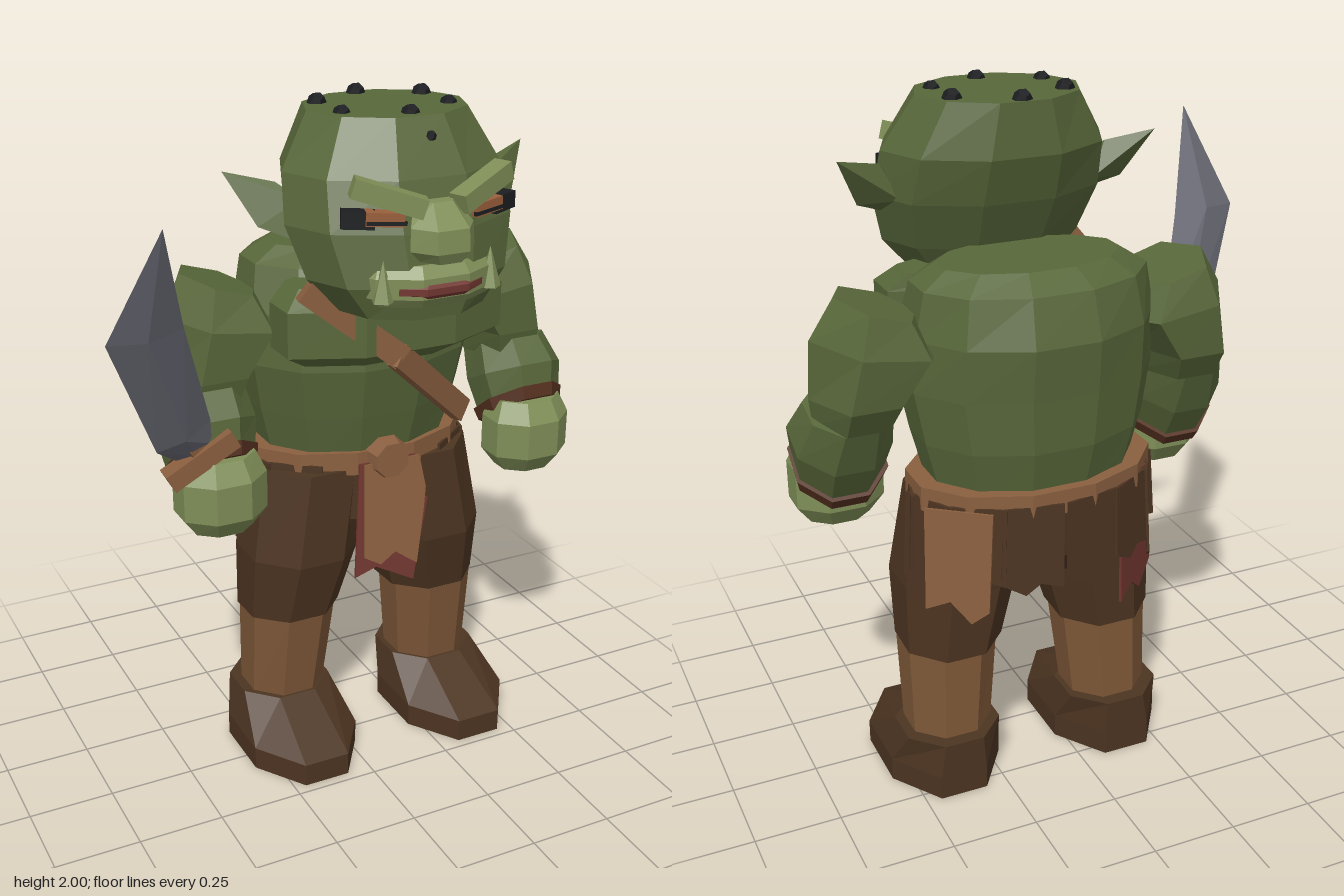
import * as THREE from 'three';
import { ConvexGeometry } from 'three/addons/geometries/ConvexGeometry.js';

const paint = (name, color) => {
  const m = new THREE.MeshStandardMaterial({ color });
  m.name = name;
  return m;
};

export function createModel() {
  const skin = paint('green skin', 0x58673a), pale = paint('pale green skin', 0x7f8e57);
  const dark = paint('dark brown cloth', 0x4c3421), tan = paint('tan leather', 0x8a5f3f);
  const shinTan = paint('wrapping brown', 0x7e5838), red = paint('red cloth', 0x713630);
  const steel = paint('steel', 0x686973), black = paint('black', 0x1c1d20);
  const cuffBrown = paint('cuff brown', 0x54301f), amber = paint('amber eye', 0x9a5f3b);

  const root = new THREE.Group();
  root.name = 'goblinWarrior';
  const body = new THREE.Group();
  body.name = 'body';
  body.position.x = 0.12;
  root.add(body);

  // Adds a mesh with faceted normals.
  const add = (name, geo, mat) => {
    const g = geo.index ? geo.toNonIndexed() : geo;
    g.computeVertexNormals();
    const m = new THREE.Mesh(g, mat);
    m.name = name;
    body.add(m);
    return m;
  };

  // Closed solid through rings [x, y, z, rx, rz, tilt, roll], bottom to top.
  const loft = (name, mat, sides, rings) => {
    const pos = [], idx = [], k = 1 / Math.cos(Math.PI / sides);
    for (const [x, y, z, rx, rz, tilt = 0, roll = 0] of rings)
      for (let i = 0; i < sides; i++) {
        const a = ((i + 0.5) / sides) * Math.PI * 2;
        const dx = rx * k * Math.sin(a), dz = rz * k * Math.cos(a);
        pos.push(x + dx, y + tilt * dz + roll * dx, z + dz);
      }
    for (let r = 0; r < rings.length - 1; r++)
      for (let i = 0; i < sides; i++) {
        const j = (i + 1) % sides, a = r * sides + i, b = r * sides + j;
        idx.push(a, b, b + sides, a, b + sides, a + sides);
      }
    const top = (rings.length - 1) * sides;
    for (let i = 1; i < sides - 1; i++) idx.push(0, i + 1, i, top, top + i, top + i + 1);
    const g = new THREE.BufferGeometry();
    g.setAttribute('position', new THREE.Float32BufferAttribute(pos, 3));
    g.setIndex(idx);
    return add(name, g, mat);
  };

  const hull = (name, mat, pts) =>
    add(name, new ConvexGeometry(pts.map((p) => new THREE.Vector3(...p))), mat);

  // Box running from a to b.
  const bar = (name, mat, a, b, width, thick) => {
    const A = new THREE.Vector3(...a), B = new THREE.Vector3(...b);
    const m = add(name, new THREE.BoxGeometry(thick, width, A.distanceTo(B)), mat);
    body.remove(m);
    m.position.copy(A).add(B).multiplyScalar(0.5);
    m.lookAt(B);
    body.add(m);
  };

  // Ragged cloth strip hanging from the belt at an angle around the hips.
  const cloth = (name, mat, angle, out, pts, tilt) => {
    const shape = new THREE.Shape(pts.map((p) => new THREE.Vector2(...p)));
    const g = new THREE.ExtrudeGeometry(shape, { depth: 0.008, bevelEnabled: false });
    const m = add(name, g, mat);
    m.position.set((0.34 + out) * Math.sin(angle), 0.95, -0.165 + (0.235 + out) * Math.cos(angle));
    m.rotation.order = 'YXZ';
    m.rotation.set(-tilt, Math.atan2(Math.sin(angle) / 0.34, Math.cos(angle) / 0.235), 0);
  };

  // Torso, neck and chest
  loft('torso', skin, 12, [
    [0, 0.93, -0.155, 0.28, 0.205], [0, 1.1, -0.155, 0.323, 0.245], [0, 1.25, -0.145, 0.35, 0.265],
    [0, 1.4, -0.157, 0.345, 0.268], [0, 1.53, -0.175, 0.32, 0.215], [0, 1.575, -0.17, 0.25, 0.15],
  ]);
  loft('neck', skin, 8, [[0, 1.38, 0, 0.17, 0.13], [0, 1.56, 0.1, 0.17, 0.13]]);
  loft('chest', skin, 8, [
    [0, 1.28, 0.03, 0.26, 0.11], [0, 1.33, 0.07, 0.335, 0.142],
    [0, 1.46, 0.07, 0.335, 0.142], [0, 1.51, 0.04, 0.28, 0.11],
  ]);
  // Strap bends over the chest and back to the belly
  bar('chestStrapUpper', tan, [-0.295, 1.53, 0.155], [-0.03, 1.315, 0.21], 0.07, 0.036);
  bar('chestStrapLower', tan, [-0.045, 1.325, 0.21], [0.25, 1.06, 0.07], 0.07, 0.036);

  // Head
  loft('head', skin, 10, [
    [0, 1.47, 0.18, 0.205, 0.175], [0, 1.56, 0.165, 0.28, 0.205], [0, 1.7, 0.115, 0.318, 0.23],
    [0, 1.83, 0.07, 0.305, 0.235], [0, 1.975, 0.035, 0.22, 0.195],
  ]);
  loft('nose', pale, 6, [
    [0, 1.63, 0.36, 0.055, 0.05], [0, 1.66, 0.365, 0.082, 0.06],
    [0, 1.72, 0.36, 0.08, 0.06], [0, 1.78, 0.31, 0.05, 0.05],
  ]);
  loft('lips', pale, 10, [
    [0, 1.51, 0.24, 0.19, 0.135], [0, 1.535, 0.24, 0.21, 0.152],
    [0, 1.59, 0.24, 0.21, 0.152], [0, 1.62, 0.23, 0.19, 0.14],
  ]);
  loft('mouth', red, 10, [
    [0, 1.532, 0.24, 0.15, 0.148], [0, 1.547, 0.24, 0.192, 0.16],
    [0, 1.565, 0.24, 0.192, 0.16], [0, 1.578, 0.24, 0.15, 0.148],
  ]);

  for (const s of [-1, 1]) {
    const side = s > 0 ? 'left' : 'right';
    bar(side + 'Brow', pale, [s * 0.05, 1.768, 0.355], [s * 0.225, 1.828, 0.29], 0.052, 0.055);
    bar(side + 'EyeSocket', black, [s * 0.17, 1.742, 0.31], [s * 0.25, 1.745, 0.275], 0.045, 0.045);
    bar(side + 'Eye', amber, [s * 0.1, 1.742, 0.335], [s * 0.195, 1.748, 0.303], 0.036, 0.045);
    bar(side + 'Pupil', black, [s * 0.1, 1.734, 0.355], [s * 0.2, 1.738, 0.322], 0.01, 0.01);
    const tusk = add(side + 'Tusk', new THREE.ConeGeometry(0.032, 0.11, 5), pale);
    tusk.position.set(s * 0.16, 1.585, 0.34);
    hull(side + 'Ear', skin, [
      [s * 0.28, 1.76, 0.1], [s * 0.27, 1.64, 0.13], [s * 0.28, 1.7, 0.03],
      [s * 0.33, 1.8, 0.05], [s * 0.39, 1.69, 0.07], [s * 0.46, 1.83, 0],
    ]);

    // Arm
    loft(side + 'UpperArm', skin, 6, [
      [s * 0.485, 1.17, -0.12, 0.1, 0.12], [s * 0.475, 1.25, -0.135, 0.118, 0.155],
      [s * 0.42, 1.385, -0.14, 0.158, 0.165, 0, s * 0.15], [s * 0.425, 1.49, -0.15, 0.095, 0.13, 0, s * 0.3],
    ]);
    loft(side + 'Forearm', skin, 8, [
      [s * 0.51, 1.02, -0.02, 0.12, 0.1, 0.75], [s * 0.51, 1.1, -0.055, 0.133, 0.125, 0.5],
      [s * 0.5, 1.2, -0.11, 0.11, 0.125, 0.25],
    ]);
    loft(side + 'Cuff', cuffBrown, 8, [
      [s * 0.51, 0.985, -0.01, 0.12, 0.1, 0.75], [s * 0.51, 1.02, -0.025, 0.129, 0.106, 0.75],
    ]);
    loft(side + 'Fist', pale, 8, [
      [s * 0.505, 0.825, 0.03, 0.085, 0.07], [s * 0.505, 0.88, 0.03, 0.125, 0.108],
      [s * 0.505, 0.99, 0.03, 0.125, 0.108], [s * 0.505, 1.05, 0.02, 0.1, 0.085],
    ]);

    // Leg
    loft(side + 'Trouser', dark, 8, [
      [s * 0.238, 0.445, -0.115, 0.142, 0.148, 0.05], [s * 0.21, 0.65, -0.1, 0.17, 0.178],
      [s * 0.165, 0.93, -0.13, 0.17, 0.19],
    ]);
    loft(side + 'Shin', shinTan, 8, [
      [s * 0.255, 0.16, -0.13, 0.118, 0.12], [s * 0.242, 0.45, -0.11, 0.134, 0.14],
    ]);
    loft(side + 'Boot', dark, 8, [
      [s * 0.265, 0, -0.035, 0.17, 0.255], [s * 0.265, 0.07, -0.035, 0.17, 0.255],
      [s * 0.26, 0.175, -0.145, 0.142, 0.145],
    ]);

    // Ragged side cloths
    for (const [a, w, l] of [[0.85, 0.085, 0.32], [1.4, 0.085, 0.24], [1.9, 0.085, 0.3], [2.4, 0.085, 0.24], [2.88, 0.085, 0.26]])
      cloth(side + 'SkirtStrip', dark, s * a, 0.002,
        [[-w, 0], [-w * 1.1, -l * 0.85], [-w * 0.3, -l], [w * 0.2, -l * 0.88], [w * 0.95, -l * 0.95], [w, 0]], 0.05);
  }

  // Scalp studs
  for (const [x, y, z, r] of [
    [-0.16, 1.98, -0.05, 0.027], [0, 1.98, -0.135, 0.027], [0.16, 1.98, -0.05, 0.027], [-0.16, 1.975, 0.1, 0.025],
    [0.16, 1.975, 0.1, 0.025], [0, 1.975, 0.18, 0.027], [0.02, 1.93, 0.255, 0.015],
  ]) add('scalpStud', new THREE.DodecahedronGeometry(r), black).position.set(x, y - 0.004, z);

  // Hips, belt, loincloth and rags
  loft('hips', dark, 12, [[0, 0.68, -0.14, 0.26, 0.16], [0, 0.77, -0.155, 0.335, 0.222], [0, 0.94, -0.163, 0.335, 0.228]]);
  loft('belt', tan, 12, [[0, 0.915, -0.165, 0.345, 0.238], [0, 0.985, -0.165, 0.345, 0.238]]);
  const buckle = add('buckle', new THREE.CylinderGeometry(0.055, 0.07, 0.06, 8), tan);
  buckle.rotation.x = Math.PI / 2;
  buckle.rotation.y = Math.PI / 8;
  buckle.position.set(0, 0.96, 0.085);
  cloth('loincloth', tan, 0, 0.016,
    [[-0.08, 0], [-0.1, -0.28], [-0.05, -0.31], [0, -0.28], [0.07, -0.33], [0.105, -0.16], [0.115, -0.1], [0.1, 0]], 0.16);
  cloth('loinclothLining', red, 0, 0.004,
    [[-0.09, 0], [-0.13, -0.34], [-0.06, -0.32], [0.06, -0.385], [0.125, -0.14], [0.1, -0.13], [0.09, 0]], 0.16);
  cloth('backFlap', tan, 2.3, 0.028,
    [[-0.1, 0], [-0.1, -0.3], [-0.03, -0.27], [0.03, -0.33], [0.08, -0.29], [0.09, 0]], 0.05);
  cloth('backRag', red, -2.3, -0.005,
    [[-0.09, 0], [-0.1, -0.36], [-0.03, -0.33], [0.02, -0.37], [0.09, -0.31], [0.08, 0]], 0.03);

  // Curved blade in tapering sections, guard and grip
  const section = (a, b, t) => {
    const mid = a.map((v, i) => (v + b[i]) / 2);
    return [a, b, [mid[0], mid[1] - t * 0.4, mid[2] + t], [mid[0], mid[1] + t * 0.4, mid[2] - t]];
  };
  const heel = section([-0.64, 1.06, 0.05], [-0.54, 1.1, 0.07], 0.015);
  const lower = section([-0.72, 1.13, 0.13], [-0.55, 1.18, 0.09], 0.02);
  const wide = section([-0.885, 1.5, 0.27], [-0.665, 1.5, 0.23], 0.022);
  hull('bladeHeel', steel, [...heel, ...lower]);
  hull('bladeLower', steel, [...lower, ...wide]);
  hull('bladeTip', steel, [...wide, [-0.755, 1.8, 0.36]]);
  bar('swordGuard', tan, [-0.67, 1.01, 0.065], [-0.48, 1.115, 0.075], 0.055, 0.06);
  bar('swordGrip', tan, [-0.6, 1.11, 0.065], [-0.44, 0.84, 0.02], 0.05, 0.05);

  return root;
}
